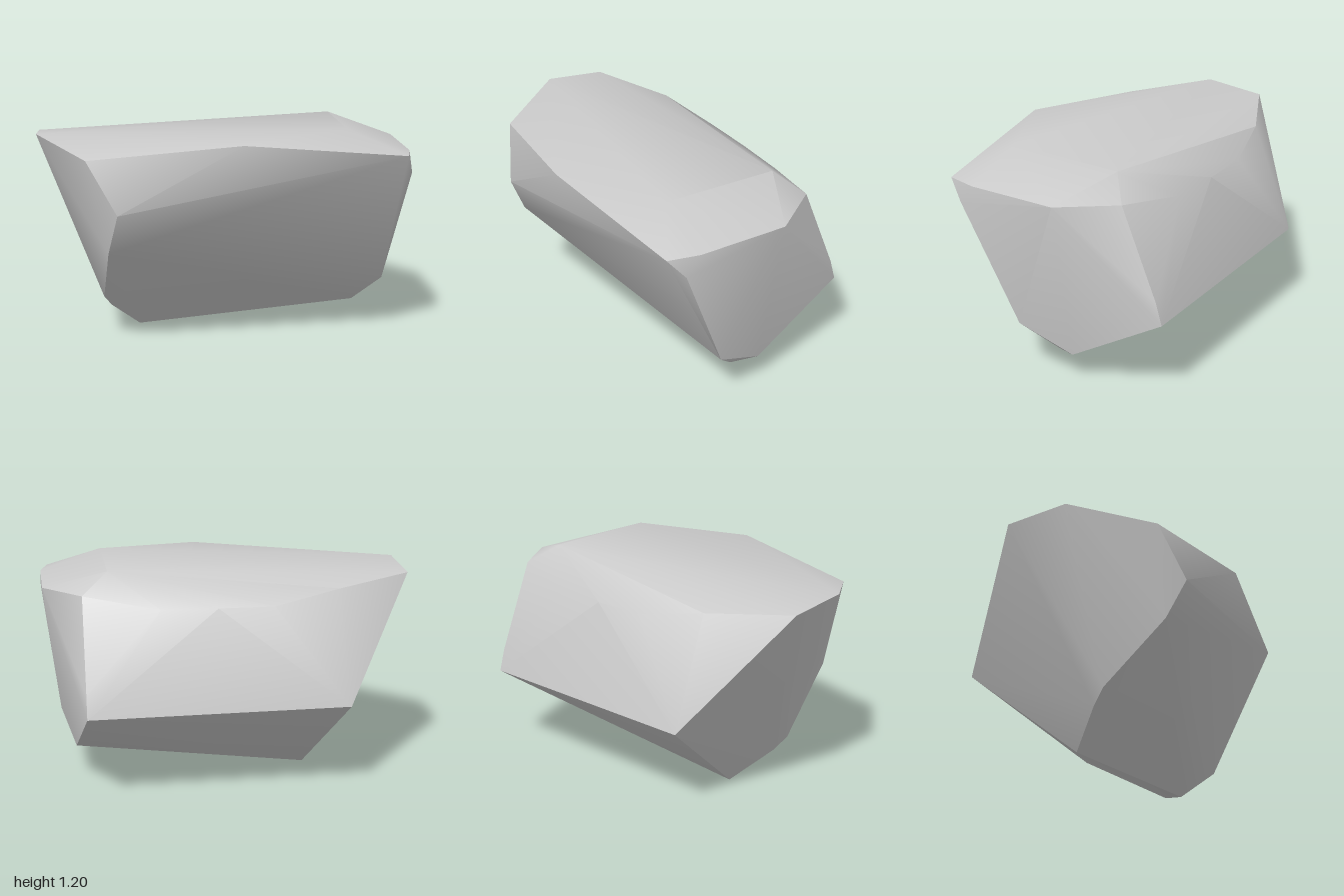
import * as THREE from 'three';
import { ConvexGeometry } from 'three/addons/geometries/ConvexGeometry.js';
import { toCreasedNormals } from 'three/addons/utils/BufferGeometryUtils.js';

// Corners of the boulder, grouped by the side they shape
const corners = [
  // top plateau
  [0.66, 1.195, 0.35], [0.66, 1.185, -0.3], [-1, 1.15, 0.13], [-1, 1.115, -0.21],
  [-0.57, 1.08, -0.42], [0.8, 1.08, -0.42],
  // overhanging front rim
  [0.08, 1.165, 0.655], [-0.73, 1.075, 0.53], [0.96, 1.075, 0.53],
  // front belly
  [-0.57, 0.8, 0.62], [-0.62, 0.575, 0.52],
  // right end
  [1, 1.075, 0.36], [1, 1.075, -0.14], [1, 0.97, 0.44], [0.91, 0.31, 0.16],
  // back
  [-0.2, 1.015, -0.515], [0.1, 1.015, -0.52], [0.4, 1.015, -0.515],
  [0.8, 0.6, -0.62], [0.8, 0.48, -0.655], [-0.59, 0.49, -0.65],
  // underside keel
  [-0.45, 0, -0.07], [-0.61, 0.17, 0.11], [-0.65, 0.24, 0.18],
  [0.77, 0.14, 0], [0.84, 0.175, -0.13],
];

export function createModel() {
  const stone = new THREE.MeshStandardMaterial({ color: 0xcacaca });
  stone.name = 'pale grey stone';

  // Convex rock, smooth across gentle bends and sharp at the strong edges
  const hull = new ConvexGeometry(corners.map((p) => new THREE.Vector3(...p)));
  const boulder = new THREE.Mesh(toCreasedNormals(hull, 0.68), stone);
  boulder.name = 'boulder';

  const model = new THREE.Group();
  model.name = 'rock';
  model.add(boulder);
  return model;
}
